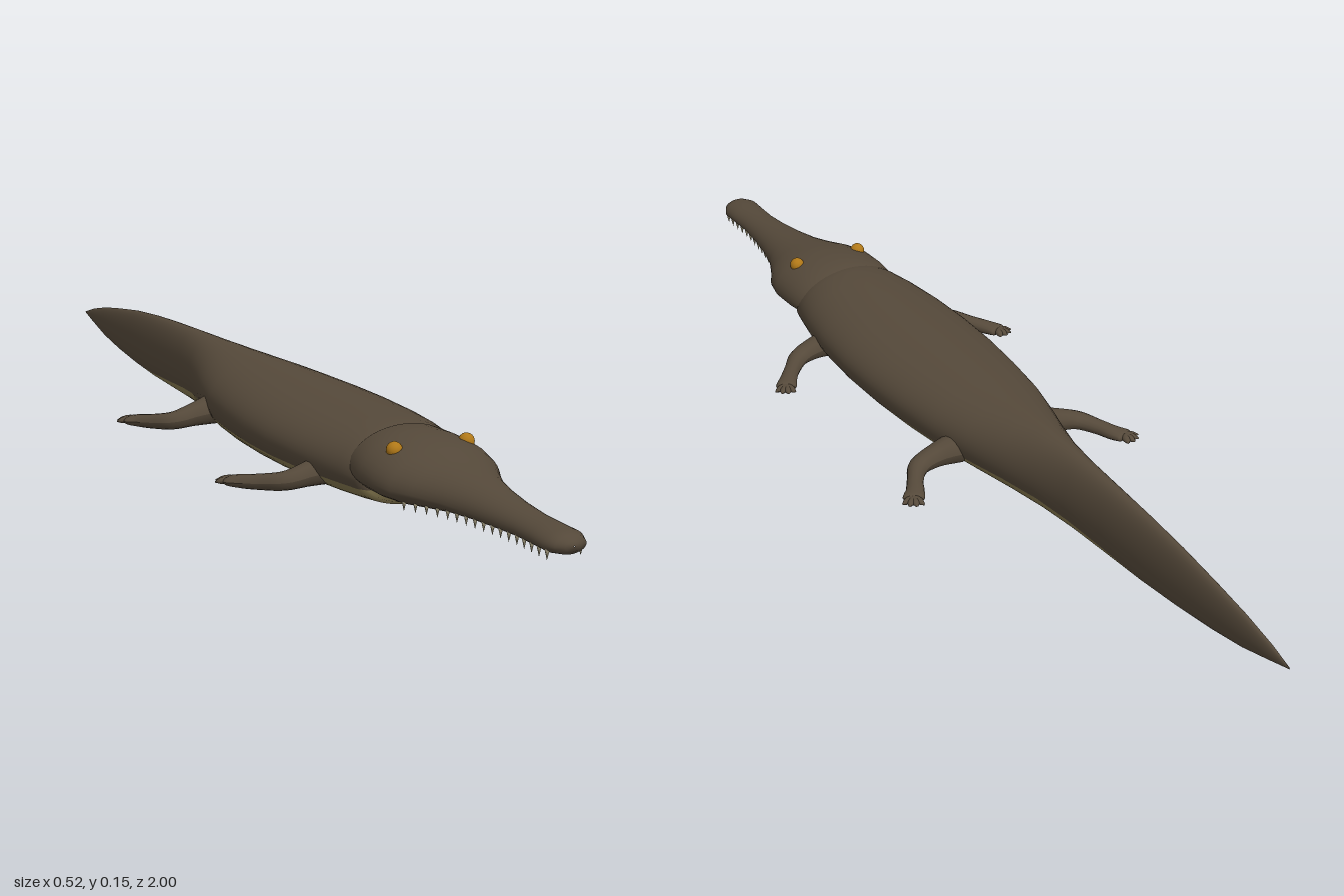
import * as THREE from 'three';

const hide = new THREE.MeshStandardMaterial({ color: 0x55493a });
hide.name = 'brown hide';
const pale = new THREE.MeshStandardMaterial({ color: 0x85784f });
pale.name = 'pale belly';
const ivory = new THREE.MeshStandardMaterial({ color: 0xb5ab8c });
ivory.name = 'ivory teeth';
const amber = new THREE.MeshStandardMaterial({ color: 0xb07818 });
amber.name = 'amber eyes';

// Skin a grid of points: rows run along the part, columns run around it
function skin(rows, cols, point) {
  const pos = [], index = [];
  for (let i = 0; i < rows; i++)
    for (let j = 0; j <= cols; j++) pos.push(...point(i, j / cols));
  for (let i = 0; i < rows - 1; i++)
    for (let j = 0; j < cols; j++) {
      const a = i * (cols + 1) + j, b = a + 1, c = a + cols + 1, d = c + 1;
      index.push(a, b, d, a, d, c);
    }
  const g = new THREE.BufferGeometry();
  g.setAttribute('position', new THREE.Float32BufferAttribute(pos, 3));
  g.setIndex(index);
  g.computeVertexNormals();
  return g;
}

function add(parent, name, geometry, material) {
  const mesh = new THREE.Mesh(geometry, material);
  mesh.name = name;
  parent.add(mesh);
  return mesh;
}

// Point on an egg-shaped section [z, half width, top, bottom, height of widest line]
function onSection([z, w, top, bottom, mid], angle) {
  const s = Math.sin(angle);
  return [w * Math.cos(angle), mid + s * (s > 0 ? top - mid : mid - bottom), z];
}

// Trunk and tail: the last number is the angle where back meets belly
const BODY = [
  [-1.00, 0.001, 0.081, 0.079, 0.080, -1.50],
  [-0.95, 0.006, 0.096, 0.066, 0.080, -1.45],
  [-0.88, 0.010, 0.111, 0.048, 0.080, -1.40],
  [-0.80, 0.014, 0.123, 0.035, 0.080, -1.30],
  [-0.70, 0.018, 0.136, 0.023, 0.080, -1.20],
  [-0.60, 0.023, 0.144, 0.015, 0.080, -1.05],
  [-0.50, 0.028, 0.149, 0.011, 0.080, -0.85],
  [-0.40, 0.036, 0.152, 0.008, 0.080, -0.68],
  [-0.32, 0.050, 0.153, 0.006, 0.080, -0.55],
  [-0.24, 0.072, 0.153, 0.005, 0.080, -0.46],
  [-0.16, 0.095, 0.152, 0.004, 0.080, -0.42],
  [-0.08, 0.114, 0.152, 0.002, 0.080, -0.40],
  [0.02, 0.128, 0.152, 0.000, 0.080, -0.38],
  [0.12, 0.137, 0.152, 0.001, 0.080, -0.38],
  [0.22, 0.140, 0.152, 0.003, 0.080, -0.38],
  [0.32, 0.135, 0.152, 0.006, 0.080, -0.38],
  [0.40, 0.125, 0.152, 0.009, 0.079, -0.38],
  [0.45, 0.115, 0.151, 0.012, 0.077, -0.38],
  [0.49, 0.106, 0.145, 0.016, 0.074, -0.38],
  [0.508, 0.094, 0.130, 0.024, 0.070, -0.38],
  [0.515, 0.001, 0.066, 0.064, 0.065, -0.38],
];

// Head and long snout
const HEAD = [
  [0.44, 0.085, 0.140, 0.050, 0.085],
  [0.47, 0.106, 0.150, 0.043, 0.085],
  [0.52, 0.112, 0.150, 0.040, 0.084],
  [0.57, 0.113, 0.146, 0.042, 0.082],
  [0.61, 0.104, 0.139, 0.044, 0.080],
  [0.65, 0.084, 0.130, 0.048, 0.079],
  [0.70, 0.063, 0.121, 0.053, 0.078],
  [0.76, 0.049, 0.113, 0.056, 0.077],
  [0.82, 0.040, 0.106, 0.058, 0.076],
  [0.88, 0.035, 0.101, 0.060, 0.076],
  [0.93, 0.036, 0.099, 0.060, 0.076],
  [0.97, 0.037, 0.098, 0.060, 0.076],
  [0.99, 0.028, 0.093, 0.063, 0.077],
  [0.998, 0.014, 0.086, 0.069, 0.078],
  [1.00, 0.001, 0.079, 0.077, 0.078],
];

// Interpolated head section at any z
function headAt(z) {
  const i = HEAD.findIndex(s => s[0] >= z);
  const a = HEAD[i - 1], b = HEAD[i], t = (z - a[0]) / (b[0] - a[0]);
  return a.map((v, k) => THREE.MathUtils.lerp(v, b[k], t));
}

// Limb through points [x, y, z, half width, half height], on side s
function limb(s, points) {
  const curve = new THREE.CatmullRomCurve3(points.map(p => new THREE.Vector3(s * p[0], p[1], p[2])));
  const size = new THREE.CatmullRomCurve3(points.map(p => new THREE.Vector3(p[3], p[4], 0)));
  const rows = 4 * (points.length - 1) + 1, up = new THREE.Vector3(0, 1, 0);
  return skin(rows, 14, (i, v) => {
    const t = i / (rows - 1), a = v * Math.PI * 2;
    const p = curve.getPoint(t), r = size.getPoint(t);
    const side = up.clone().cross(curve.getTangent(t)).normalize();
    p.addScaledVector(side, Math.cos(a) * Math.max(r.x, 0.0005));
    p.y += Math.sin(a) * Math.max(r.y, 0.0005);
    return p.toArray();
  });
}

// Leg with a backward-pointing foot and four fanned toes
function makeLeg(name, s, z, reach) {
  const leg = new THREE.Group();
  leg.name = name;
  const fx = 0.226 + reach, fz = z - 0.075;
  add(leg, 'limb', limb(s, [
    [0.085, 0.060, z + 0.005, 0.032, 0.030],
    [0.130, 0.052, z + 0.008, 0.022, 0.022],
    [0.168, 0.043, z + 0.002, 0.019, 0.017],
    [0.196 + reach / 2, 0.037, z - 0.030, 0.015, 0.014],
    [0.214 + reach, 0.034, z - 0.058, 0.017, 0.012],
    [fx, 0.033, fz, 0.020, 0.009],
    [fx + 0.004, 0.033, fz - 0.010, 0.001, 0.001],
  ]), hide);
  for (let k = 0; k < 4; k++) {
    const a = 0.25 + k * 0.52, dx = Math.cos(a), dz = -Math.sin(a);
    add(leg, 'toe', limb(s, [
      [fx, 0.033, fz, 0.008, 0.007],
      [fx + dx * 0.016, 0.033, fz + dz * 0.016, 0.007, 0.006],
      [fx + dx * 0.028, 0.031, fz + dz * 0.028, 0.001, 0.001],
    ]), hide);
  }
  return leg;
}

export function createModel() {
  const model = new THREE.Group();
  model.name = 'crocodile';

  // Back and belly share one outline and meet along the flank
  add(model, 'back', skin(BODY.length, 32, (i, v) => {
    const a = BODY[i][5];
    return onSection(BODY[i], a + v * (Math.PI - 2 * a));
  }), hide);
  add(model, 'belly', skin(BODY.length, 20, (i, v) => {
    const a = BODY[i][5];
    return onSection(BODY[i], -Math.PI - a + v * (Math.PI + 2 * a));
  }), pale);
  add(model, 'head', skin(HEAD.length, 40, (i, v) =>
    onSection(HEAD[i], -Math.PI / 2 + v * Math.PI * 2)), hide);

  const toothShape = new THREE.ConeGeometry(0.0045, 0.02, 6).rotateX(Math.PI);
  const eyeShape = new THREE.SphereGeometry(0.014, 18, 12);
  for (const s of [1, -1]) {
    const label = s > 0 ? 'left' : 'right';
    const eye = add(model, label + 'Eye', eyeShape, amber);
    eye.position.set(s * 0.068, 0.133, 0.56);

    // Teeth follow the edge of the upper jaw
    const teeth = new THREE.Group();
    teeth.name = label + 'Teeth';
    for (let z = 0.62; z < 0.985; z += 0.022) {
      const [x, y] = onSection(headAt(z), -0.6);
      add(teeth, 'tooth', toothShape, ivory).position.set(s * x, y - 0.005, z);
    }
    model.add(teeth);

    model.add(makeLeg(label + 'FrontLeg', s, 0.355, 0.008));
    model.add(makeLeg(label + 'HindLeg', s, -0.125, -0.005));
  }
  return model;
}
